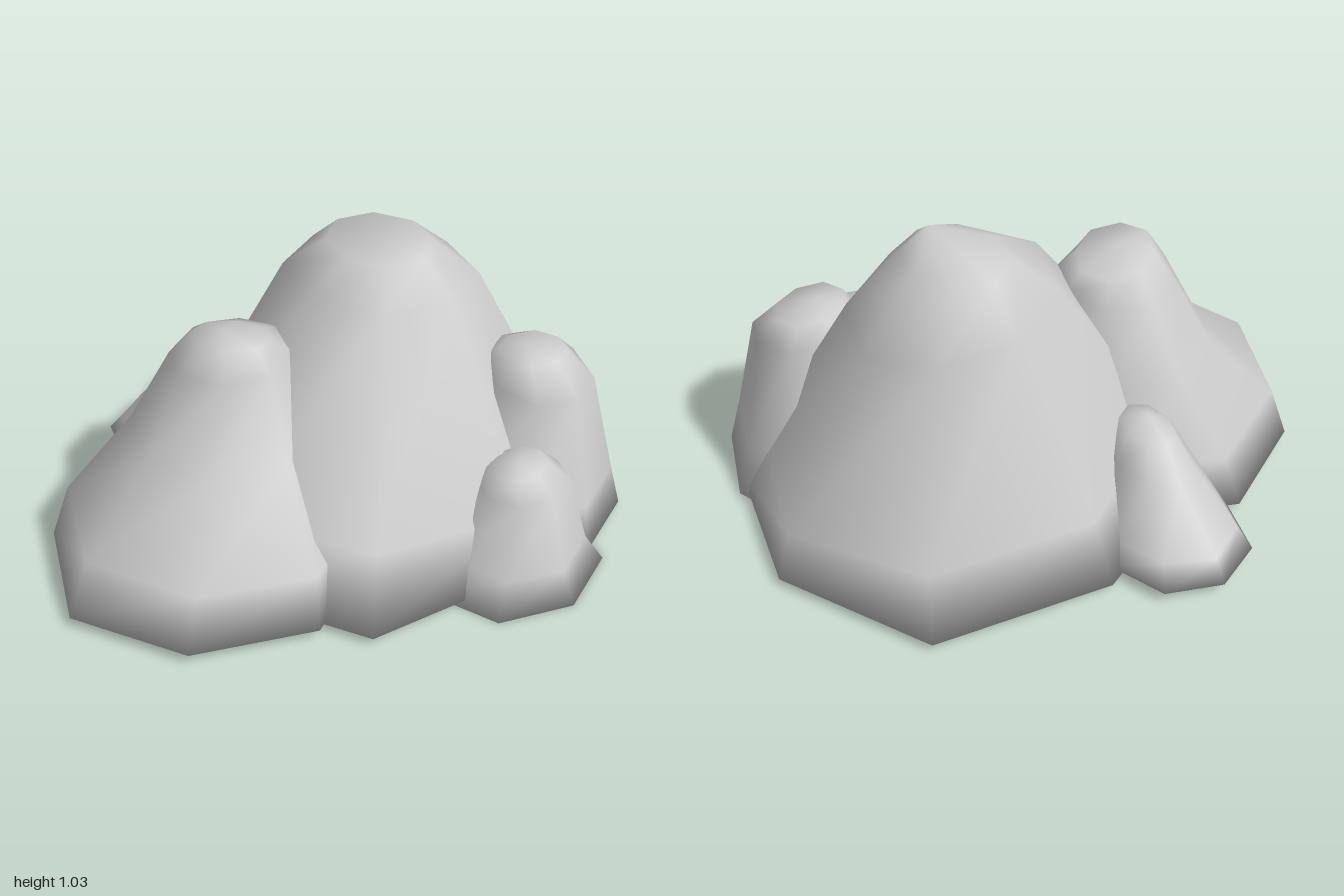
import * as THREE from 'three';

const SIDES = 8;

// Each ring: [y, xMin, xMax, zMin, zMax, tilt along x, tilt along z], bottom to top.
// Each peak: [x, y, z]. turn rotates the corners; baseBulge and bulge push the
// diagonal corners in or out on the base ring and on the rings above it.
const ROCKS = {
  mainRock: {
    turn: 0, baseBulge: 1.06, bulge: 1,
    rings: [
      [0.03, -0.59, 0.99, -0.69, 0.75],
      [0.24, -0.52, 0.93, -0.60, 0.69, -0.06, 0],
      [0.85, -0.05, 0.64, -0.34, 0.29, -0.05, 0],
      [0.98, 0.10, 0.43, -0.20, 0.18],
    ],
    peak: [0.27, 1.035, 0.11],
  },
  leftRock: {
    turn: 0.1, baseBulge: 0.95, bulge: 0.97,
    rings: [
      [0.04, -1.0, 0.14, -0.71, 0.43],
      [0.22, -0.92, 0.12, -0.65, 0.39, -0.02, 0],
      [0.48, -0.63, 0.0, -0.49, 0.16],
      [0.74, -0.49, -0.07, -0.36, 0.04, 0, 0.01],
      [0.815, -0.43, -0.16, -0.27, -0.01, -0.03, 0.01],
    ],
    peak: [-0.32, 0.845, -0.15],
  },
  backRock: {
    turn: 0.11, baseBulge: 1.03, bulge: 1,
    rings: [
      [0.04, -0.34, 0.16, -0.93, -0.38],
      [0.11, -0.31, 0.12, -0.88, -0.37],
      [0.33, -0.23, 0.03, -0.69, -0.36, 0, 0.05],
      [0.41, -0.19, -0.03, -0.61, -0.41, 0, 0.02],
    ],
    peak: [-0.12, 0.445, -0.50],
  },
  frontLeftRock: {
    turn: 0.11, baseBulge: 1.03, bulge: 1.03,
    rings: [
      [0.015, 0.06, 0.86, 0.03, 0.82],
      [0.18, 0.17, 0.79, 0.13, 0.78],
      [0.57, 0.33, 0.70, 0.28, 0.67, 0, -0.03],
      [0.65, 0.38, 0.63, 0.36, 0.57, -0.01, 0],
    ],
    peak: [0.48, 0.67, 0.46],
  },
  frontRock: {
    turn: 0.12, baseBulge: 1.04, bulge: 1.04,
    rings: [
      [0.0, -0.10, 0.57, 0.20, 0.93],
      [0.14, -0.04, 0.45, 0.32, 0.89],
      [0.36, 0.08, 0.40, 0.50, 0.79],
      [0.42, 0.13, 0.33, 0.56, 0.72],
    ],
    peak: [0.22, 0.435, 0.64],
  },
};

// Lofts eight-sided rings into one closed, smoothly shaded boulder.
function boulder({ rings, peak, turn, baseBulge, bulge }) {
  const positions = [];
  const index = [];
  rings.forEach(([y, x0, x1, z0, z1, tiltX = 0, tiltZ = 0], level) => {
    const diagonal = level === 0 ? baseBulge : bulge;
    for (let i = 0; i < SIDES; i++) {
      const angle = (i / SIDES) * Math.PI * 2 + turn;
      const reach = i % 2 ? diagonal : 1;
      const c = Math.cos(angle) * reach;
      const s = Math.sin(angle) * reach;
      positions.push(
        (x0 + x1) / 2 + (c * (x1 - x0)) / 2,
        y + tiltX * c + tiltZ * s,
        (z0 + z1) / 2 + (s * (z1 - z0)) / 2,
      );
    }
  });

  const [baseY, bx0, bx1, bz0, bz1] = rings[0];
  const top = rings.length * SIDES;
  const bottom = top + 1;
  positions.push(...peak, (bx0 + bx1) / 2, baseY, (bz0 + bz1) / 2);

  const last = (rings.length - 1) * SIDES;
  for (let i = 0; i < SIDES; i++) {
    const j = (i + 1) % SIDES;
    // Side walls
    for (let r = 0; r < last; r += SIDES) {
      const a = r + i, b = r + j;
      index.push(a, a + SIDES, b, b, a + SIDES, b + SIDES);
    }
    // Rounded top and flat underside
    index.push(top, last + j, last + i, bottom, i, j);
  }

  const geometry = new THREE.BufferGeometry();
  geometry.setAttribute('position', new THREE.Float32BufferAttribute(positions, 3));
  geometry.setIndex(index);
  geometry.computeVertexNormals();
  return geometry;
}

export function createModel() {
  const group = new THREE.Group();
  group.name = 'rockCluster';
  const stone = new THREE.MeshStandardMaterial({ color: 0xcccccc });
  for (const [name, spec] of Object.entries(ROCKS)) {
    const mesh = new THREE.Mesh(boulder(spec), stone);
    mesh.name = name;
    group.add(mesh);
  }
  return group;
}
